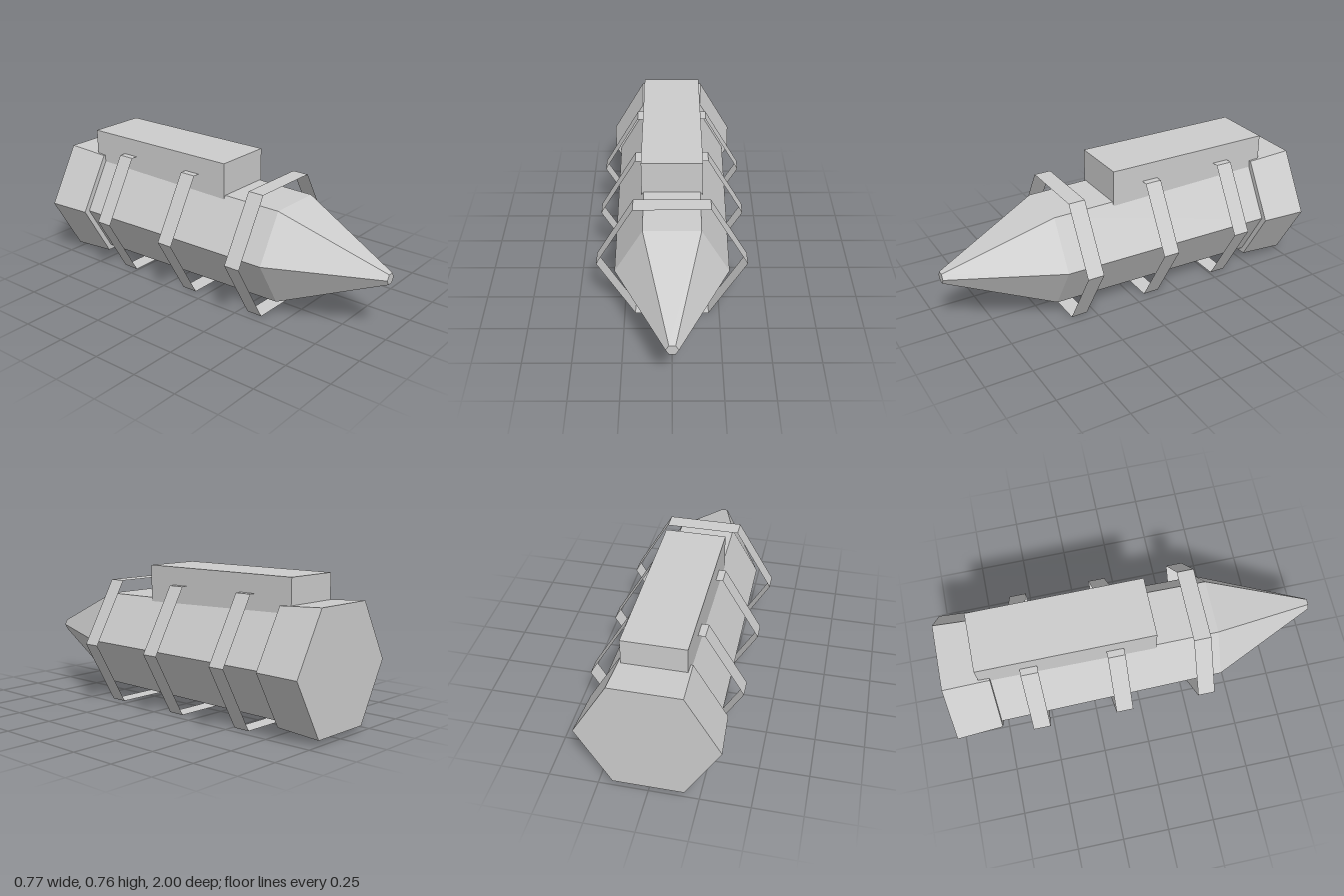
import * as THREE from 'three';

const AXIS_Y = 0.337;

export function createModel() {
  const model = new THREE.Group();
  const hullGrey = new THREE.MeshStandardMaterial({ color: 0xcccccc, flatShading: true });
  hullGrey.name = 'hullGrey';
  const bandGrey = hullGrey.clone();
  bandGrey.name = 'bandGrey';
  bandGrey.side = THREE.DoubleSide;

  // Six-sided section lying along z, with corners at the left and right
  function hexSection(name, frontZ, frontRadius, backZ, backRadius, open = false) {
    const geometry = new THREE.CylinderGeometry(
      frontRadius, backRadius, frontZ - backZ, 6, 1, open, Math.PI / 2);
    geometry.rotateX(Math.PI / 2);
    const mesh = new THREE.Mesh(geometry, open ? bandGrey : hullGrey);
    mesh.name = name;
    mesh.position.set(0, AXIS_Y, (frontZ + backZ) / 2);
    model.add(mesh);
  }

  // Hull: pointed nose, slightly flared body and stepped tail
  hexSection('nose', 1, 0.031, 0.437, 0.29);
  hexSection('body', 0.437, 0.29, -0.757, 0.306);
  hexSection('tail', -0.757, 0.338, -1, 0.354);

  // Thin open bands standing clear of the body
  [0.335, -0.11, -0.555].forEach((z, i) =>
    hexSection(`band${i + 1}`, z + 0.045, 0.387, z - 0.045, 0.387, true));

  // Box along the top of the hull
  const topBox = new THREE.Mesh(new THREE.BoxGeometry(0.316, 0.216, 0.92), hullGrey);
  topBox.name = 'topBox';
  topBox.position.set(0, 0.658, -0.355);
  model.add(topBox);

  return model;
}
